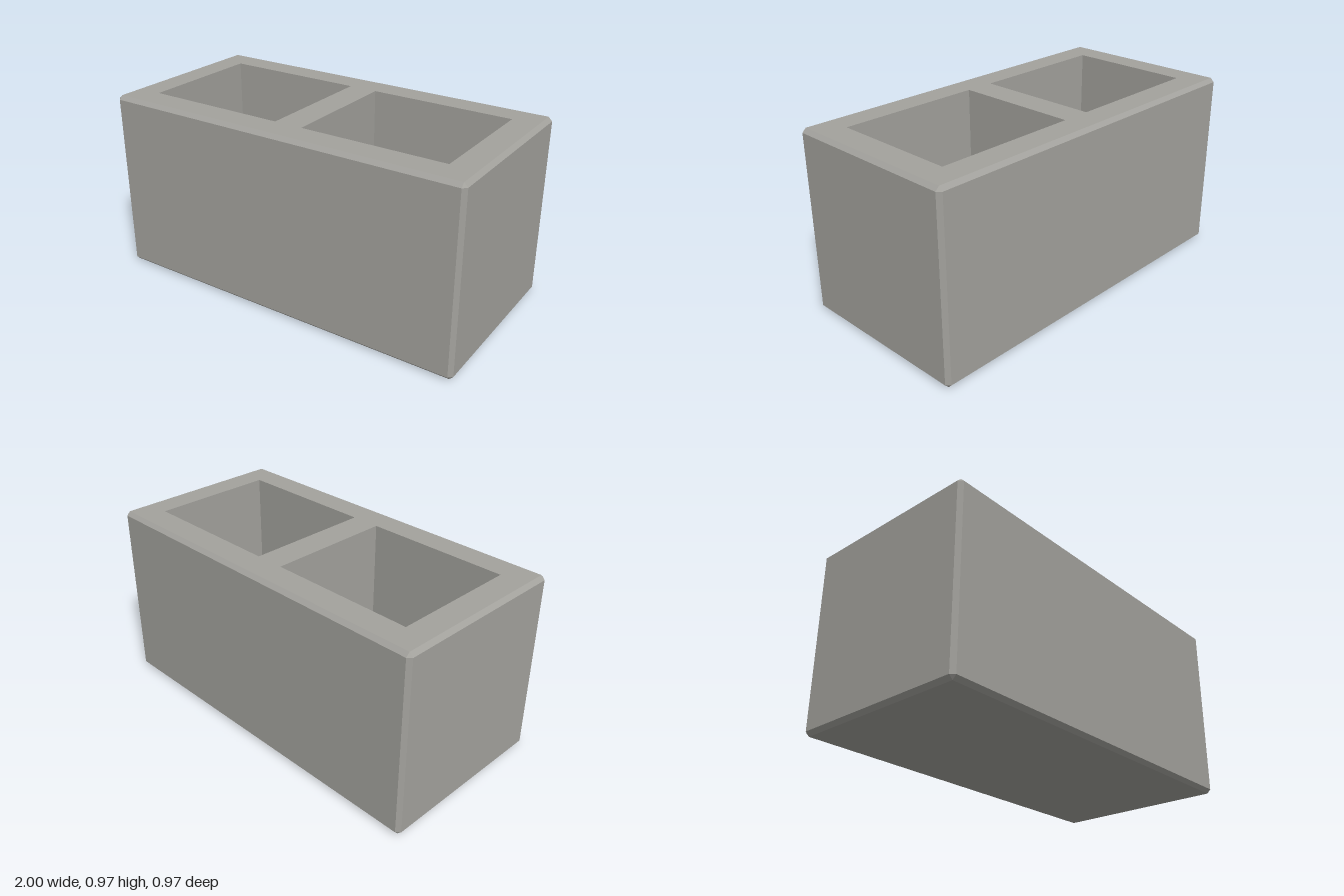
import * as THREE from 'three';

const X = 1, Z = 0.487, H = 0.974;  // half width, half depth, height
const C = 0.02;                     // chamfer
const WALL = 0.153, FLOOR = 0.15;
const HALF_WEB = 0.077;             // half of the middle wall

// Chamfered outer skin, from cross-sections joined bottom to top
function shellGeometry() {
  const ring = (y, cut) => [[1, 1], [1, -1], [-1, -1], [-1, 1]].flatMap(([sx, sz], i) => {
    const alongZ = [sx * (X - C), y, sz * (cut ? Z : Z - C)];
    const alongX = [sx * (cut ? X : X - C), y, sz * (Z - C)];
    return i % 2 ? [alongX, alongZ] : [alongZ, alongX];
  });
  const rings = [ring(0, false), ring(C, true), ring(H - C, true), ring(H, false)];
  const pos = [];
  const same = (p, q) => p.every((v, i) => v === q[i]);
  const tri = (a, b, c) => {
    if (!same(a, b) && !same(b, c) && !same(a, c)) pos.push(...a, ...b, ...c);
  };
  for (let r = 0; r < 3; r++) {
    for (let i = 0; i < 8; i++) {
      const j = (i + 1) % 8;
      const [a, b, c, d] = [rings[r][i], rings[r][j], rings[r + 1][j], rings[r + 1][i]];
      tri(a, b, c);
      tri(a, c, d);
    }
  }
  const g = new THREE.BufferGeometry();
  g.setAttribute('position', new THREE.Float32BufferAttribute(pos, 3));
  g.computeVertexNormals();
  return g;
}

function rectPoints(x0, x1, z) {
  return [[x0, -z], [x1, -z], [x1, z], [x0, z]].map(([x, y]) => new THREE.Vector2(x, y));
}

export function createModel() {
  const model = new THREE.Group();
  model.name = 'hollowBlock';
  const concrete = new THREE.MeshStandardMaterial({ color: 0xa3a29d });
  concrete.name = 'concrete';
  const add = (name, geometry) => {
    const mesh = new THREE.Mesh(geometry, concrete);
    mesh.name = name;
    model.add(mesh);
    return mesh;
  };

  add('outerWalls', shellGeometry());

  // Underside
  add('underside', new THREE.PlaneGeometry(2 * (X - C), 2 * (Z - C)).rotateX(Math.PI / 2));

  // Top rim with two openings
  const rim = new THREE.Shape(rectPoints(-X + C, X - C, Z - C));
  const innerX = X - WALL, innerZ = Z - WALL;
  rim.holes.push(new THREE.Path(rectPoints(HALF_WEB, innerX, innerZ)));
  rim.holes.push(new THREE.Path(rectPoints(-innerX, -HALF_WEB, innerZ)));
  add('topRim', new THREE.ShapeGeometry(rim).rotateX(-Math.PI / 2)).position.y = H;

  // Cavities: open-topped boxes turned inside out
  for (const [side, name] of [[1, 'leftCavity'], [-1, 'rightCavity']]) {
    const g = new THREE.BoxGeometry(innerX - HALF_WEB, H - FLOOR, 2 * innerZ);
    const idx = Array.from(g.index.array);
    idx.splice(12, 6);
    g.setIndex(idx.reverse());
    g.clearGroups();
    g.computeVertexNormals();
    add(name, g).position.set(side * (innerX + HALF_WEB) / 2, (H + FLOOR) / 2, 0);
  }
  return model;
}
